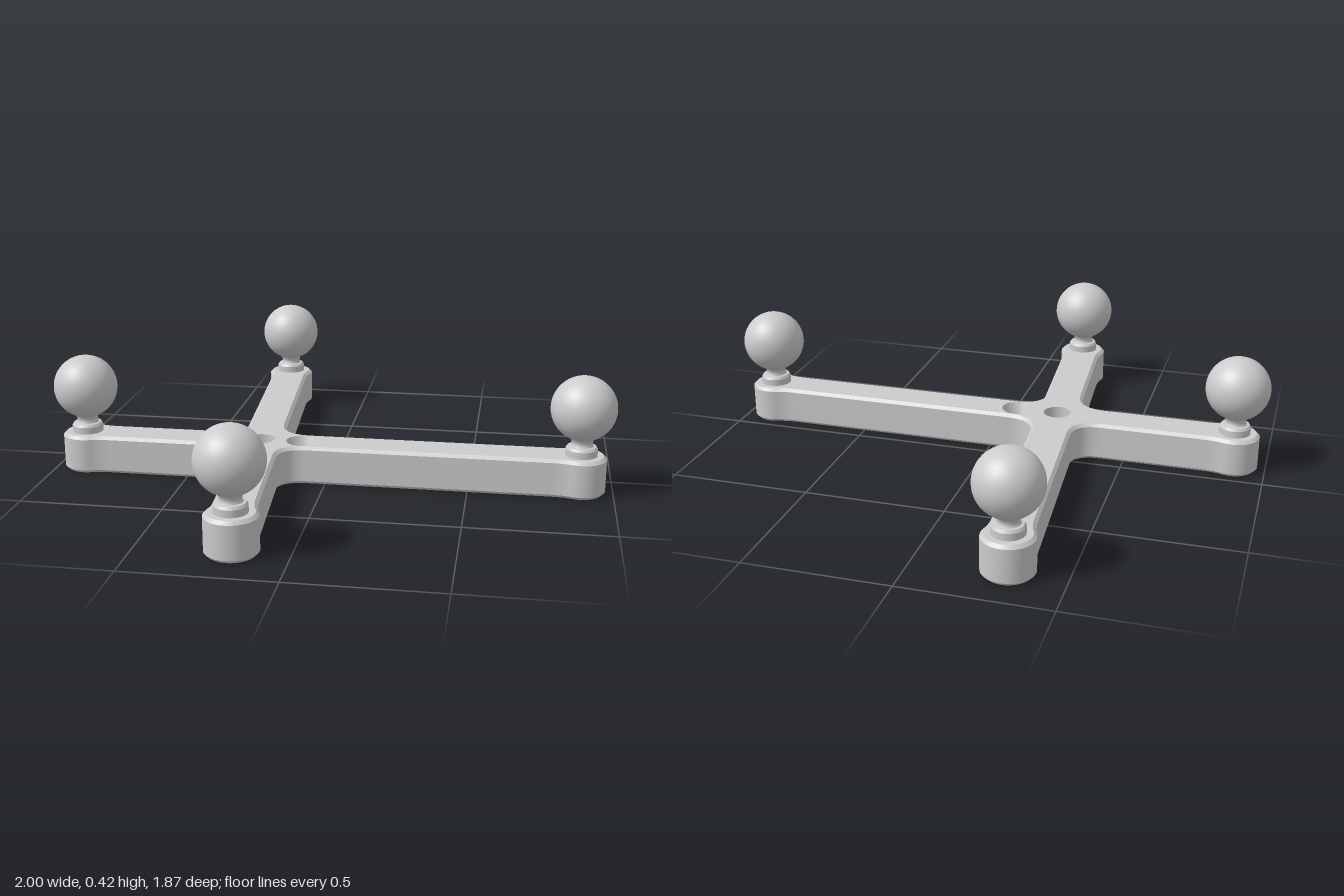
import * as THREE from 'three';

const H = 0.137, BEVEL = 0.011;      // plate height and edge chamfer
const HALF = 0.072, LOBE = 0.088;    // arm half width, rounded end radius
const HUB = new THREE.Vector2(-0.24, -0.115); // plan coordinates: (x, -z)
// arm ends, counter-clockwise
const TIPS = [[0.885, -0.115], [-0.31, 0.825], [-0.885, -0.115], [-0.185, -0.815]]
  .map(([x, y]) => new THREE.Vector2(x, y));

const grey = new THREE.MeshStandardMaterial({ color: 0xcccccc });
const greyDouble = new THREE.MeshStandardMaterial({ color: 0xcccccc, side: THREE.DoubleSide });

function addMesh(parent, name, geometry, material = grey) {
  const mesh = new THREE.Mesh(geometry, material);
  mesh.name = name;
  parent.add(mesh);
  return mesh;
}

// Plan outline: four arms with lobed ends, joined by fillets at the hub
function crossOutline() {
  const arms = TIPS.map((tip) => {
    const u = tip.clone().sub(HUB), length = u.length();
    u.normalize();
    const v = new THREE.Vector2(-u.y, u.x);
    const at = (s, t) => HUB.clone().addScaledVector(u, s).addScaledVector(v, t);
    return { tip, u, v, length, at };
  });
  const shape = new THREE.Shape();
  const line = (p) => shape.lineTo(p.x, p.y);
  const curve = (c, p) => shape.quadraticCurveTo(c.x, c.y, p.x, p.y);
  const root = 0.175, sweep = THREE.MathUtils.degToRad(110);
  const first = arms[0].at(root, -HALF);
  shape.moveTo(first.x, first.y);
  arms.forEach(({ tip, u, v, length: L, at }, i) => {
    const next = arms[(i + 1) % 4];
    const s = L + LOBE * Math.cos(sweep), t = LOBE * Math.sin(sweep);
    const a = Math.atan2(u.y, u.x);
    line(at(L - 0.1, -HALF));
    curve(at(L - 0.0594, -HALF), at(s, -t));
    shape.absarc(tip.x, tip.y, LOBE, a - sweep, a + sweep, false);
    curve(at(L - 0.0594, HALF), at(L - 0.1, HALF));
    line(at(root, HALF));
    const corner = v.clone().sub(next.v).multiplyScalar(HALF / (1 - v.dot(next.v))).add(HUB);
    curve(corner, next.at(root, -HALF));
  });
  const points = shape.getPoints(14);
  return points.filter((p, i) => p.distanceTo(points[(i + 1) % points.length]) > 1e-4);
}

// Move every outline point inwards along its normal
function inset(points, d) {
  const n = points.length;
  return points.map((p, i) => {
    const a = p.clone().sub(points[(i + n - 1) % n]).normalize();
    const b = points[(i + 1) % n].clone().sub(p).normalize();
    const t = a.add(b).normalize();
    return new THREE.Vector2(p.x - t.y * d, p.y + t.x * d);
  });
}

// Closed strip between two outlines at different heights
function band(low, y0, high, y1) {
  const n = low.length, pos = [], idx = [];
  low.forEach((p) => pos.push(p.x, y0, -p.y));
  high.forEach((p) => pos.push(p.x, y1, -p.y));
  for (let i = 0; i < n; i++) {
    const j = (i + 1) % n;
    idx.push(i, j, n + j, i, n + j, n + i);
  }
  const g = new THREE.BufferGeometry();
  g.setAttribute('position', new THREE.Float32BufferAttribute(pos, 3));
  g.setIndex(idx);
  g.computeVertexNormals();
  return g;
}

// Flat face with round holes given as [x, radius] along the long arm line
function cap(points, y, holes, down) {
  const shape = new THREE.Shape(points);
  for (const [x, r] of holes) {
    shape.holes.push(new THREE.Path().absarc(x, HUB.y, r, 0, Math.PI * 2, true));
  }
  const g = new THREE.ShapeGeometry(shape, 24);
  g.rotateX(-Math.PI / 2).translate(0, y, 0);
  if (down) {
    g.index.array.reverse();
    g.computeVertexNormals();
  }
  return g;
}

const lathe = (profile, sides = 48) =>
  new THREE.LatheGeometry(profile.map(([r, y]) => new THREE.Vector2(r, y)), sides);

export function createModel() {
  const model = new THREE.Group();
  model.name = 'fourArmStand';

  // Plate
  const plate = new THREE.Group();
  plate.name = 'crossPlate';
  model.add(plate);
  const outer = crossOutline(), inner = inset(outer, BEVEL);
  addMesh(plate, 'plateSide', band(outer, BEVEL, outer, H - BEVEL));
  addMesh(plate, 'topChamfer', band(outer, H - BEVEL, inner, H));
  addMesh(plate, 'bottomChamfer', band(inner, 0, outer, BEVEL));
  const sinkX = HUB.x + 0.15, blindX = HUB.x - 0.15;
  addMesh(plate, 'plateTop', cap(inner, H, [[HUB.x, 0.05], [sinkX, 0.058]], false));
  addMesh(plate, 'plateBottom', cap(inner, 0, [[HUB.x, 0.05], [sinkX, 0.028], [blindX, 0.034]], true));

  // Walls of the holes: through hole, countersunk hole, blind hole underneath
  const holeWalls = [
    ['hubHole', HUB.x, [[0.05, 0], [0.05, H]]],
    ['countersunkHole', sinkX, [[0.028, 0], [0.028, 0.06], [0.028, 0.06], [0.058, H]]],
    ['blindHole', blindX, [[0.034, 0], [0.034, 0.06], [0.034, 0.06], [0, 0.06]]],
  ];
  for (const [name, x, profile] of holeWalls) {
    addMesh(plate, name, lathe(profile), greyDouble).position.set(x, 0, -HUB.y);
  }

  // Ball post on each arm end
  const collar = lathe([[0.055, H - 0.01], [0.055, 0.161], [0.055, 0.161], [0.049, 0.17], [0.049, 0.17], [0.038, 0.172]]);
  const neck = lathe([[0.042, 0.168], [0.037, 0.176], [0.036, 0.184], [0.039, 0.194], [0.048, 0.205]]);
  const ball = new THREE.SphereGeometry(0.113, 48, 32);
  const names = ['leftPost', 'backPost', 'rightPost', 'frontPost'];
  TIPS.forEach((tip, i) => {
    const post = new THREE.Group();
    post.name = names[i];
    post.position.set(tip.x, 0, -tip.y);
    addMesh(post, 'collar', collar);
    addMesh(post, 'neck', neck);
    addMesh(post, 'ball', ball).position.y = 0.304;
    model.add(post);
  });
  return model;
}
